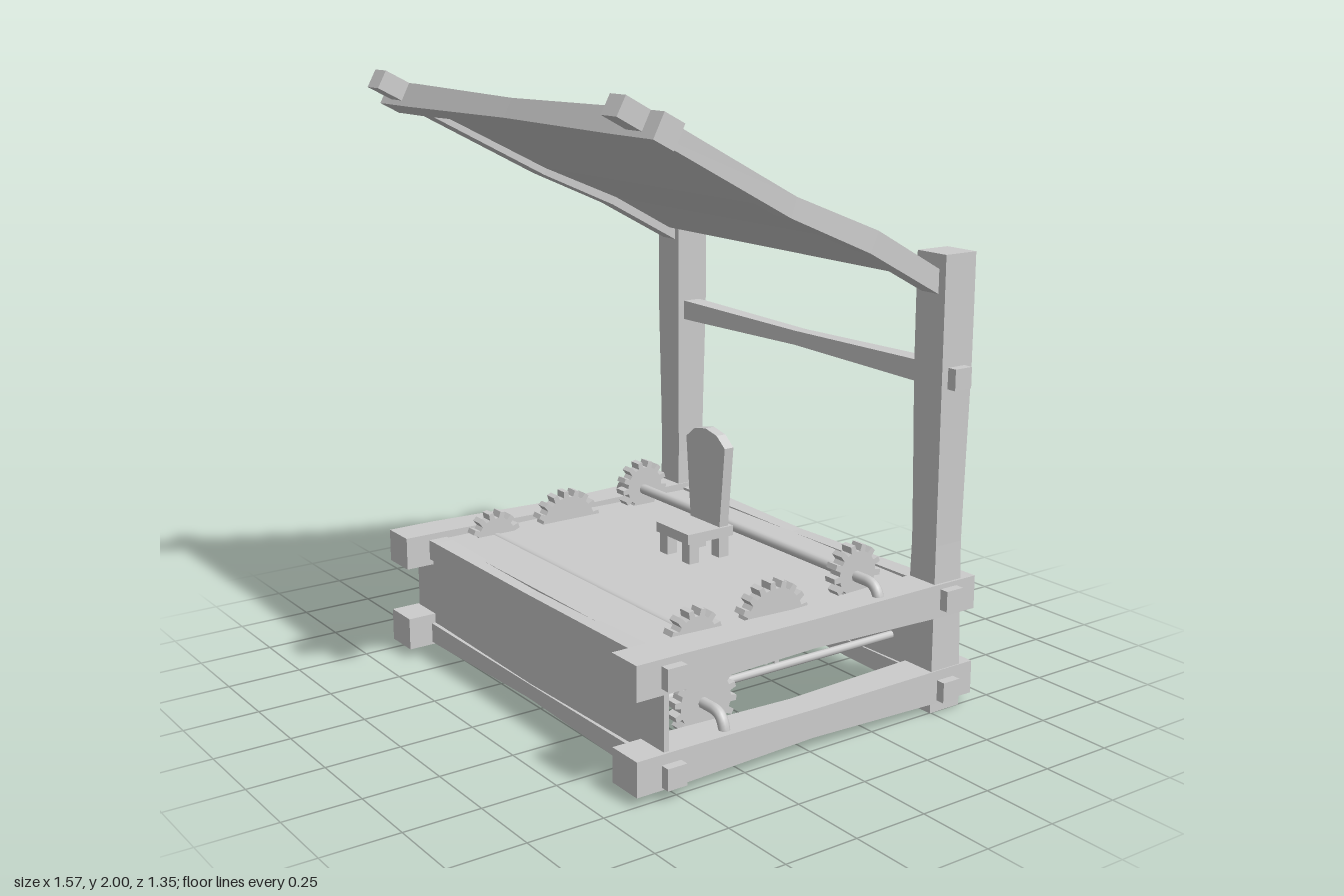
import * as THREE from 'three';

const grey = new THREE.MeshStandardMaterial({ color: 0xcccccc, flatShading: true, side: THREE.DoubleSide });
const smooth = new THREE.MeshStandardMaterial({ color: 0xcccccc });

function add(parent, name, geometry, x = 0, y = 0, z = 0, material = grey) {
  const mesh = new THREE.Mesh(geometry, material);
  mesh.name = name;
  mesh.position.set(x, y, z);
  parent.add(mesh);
  return mesh;
}

// Hand-hewn timber along one axis, slimmer around the waist
function timber(size, axis, waist = 0.84, waistAt = 0) {
  const seg = [1, 1, 1];
  seg[axis] = 8;
  const g = new THREE.BoxGeometry(...size, ...seg);
  const p = g.attributes.position;
  for (let i = 0; i < p.count; i++) {
    const t = p.getComponent(i, axis) / size[axis] * 2 - waistAt;
    const k = THREE.MathUtils.lerp(waist, 1, Math.min(1, Math.abs(t) / 0.75));
    for (let a = 0; a < 3; a++) if (a !== axis) p.setComponent(i, a, p.getComponent(i, a) * k);
  }
  g.computeVertexNormals();
  return g;
}

// Strip following sections of [zTop, yTop, zBottom, yBottom, xShift]
function strip(width, sections) {
  const n = sections.length - 1;
  const g = new THREE.BoxGeometry(width, 1, 1, 1, 1, n);
  const p = g.attributes.position;
  for (let i = 0; i < p.count; i++) {
    const s = sections[Math.round((p.getZ(i) + 0.5) * n)];
    const top = p.getY(i) > 0;
    p.setXYZ(i, p.getX(i) + s[4], top ? s[1] : s[3], top ? s[0] : s[2]);
  }
  g.computeVertexNormals();
  return g;
}

// Toothed wheel with its axis along x
function gear(radius, teeth, width = 0.045) {
  const shape = new THREE.Shape();
  const root = radius - 0.022;
  for (let i = 0; i < teeth; i++) {
    [[0, root], [0.42, root], [0.52, radius], [0.9, radius]].forEach(([f, r], j) => {
      const a = (i + f) / teeth * Math.PI * 2;
      shape[i + j ? 'lineTo' : 'moveTo'](Math.cos(a) * r, Math.sin(a) * r);
    });
  }
  shape.closePath();
  const g = new THREE.ExtrudeGeometry(shape, { depth: width, bevelEnabled: false });
  return g.translate(0, 0, -width / 2).rotateY(Math.PI / 2);
}

// Long rod whose two ends bend down into the side beams
function bentRod(y, foot) {
  const v = (x, h) => new THREE.Vector3(x, h, 0);
  const path = new THREE.CurvePath();
  path.add(new THREE.QuadraticBezierCurve3(v(-0.715, foot), v(-0.715, y), v(-0.66, y)));
  path.add(new THREE.LineCurve3(v(-0.66, y), v(0.66, y)));
  path.add(new THREE.QuadraticBezierCurve3(v(0.66, y), v(0.715, y), v(0.715, foot)));
  return new THREE.TubeGeometry(path, 160, 0.018, 10);
}

function createFrame() {
  const frame = new THREE.Group();
  frame.name = 'frame';
  for (const s of [1, -1]) {
    add(frame, 'backPost', timber([0.125, 1.48, 0.125], 1, 0.86, -0.22), s * 0.69, 0.74, -0.558);
    add(frame, 'lowerSideBeam', timber([0.125, 0.11, 1.31], 2), s * 0.692, 0.085, -0.015);
    add(frame, 'upperSideBeam', timber([0.125, 0.11, 1.31], 2), s * 0.692, 0.375, -0.015);
  }
  for (const [name, y, z] of [['lowerFrontBeam', 0.073, 0.52], ['upperFrontBeam', 0.375, 0.52],
    ['lowerBackBeam', 0.073, -0.555], ['upperBackBeam', 0.38, -0.555], ['backCrossbar', 1.095, -0.555]]) {
    add(frame, name, timber([1.57, 0.068, 0.068], 0, 0.72), 0, y, z);
  }
  add(frame, 'frontPanel', new THREE.BoxGeometry(1.49, 0.32, 0.018), 0, 0.225, 0.531);
  add(frame, 'backPanel', new THREE.BoxGeometry(1.36, 0.32, 0.018), 0, 0.225, -0.54);
  add(frame, 'deck', new THREE.BoxGeometry(1.3, 0.02, 1.04), 0, 0.395, -0.015);
  return frame;
}

function createCanopy() {
  const canopy = new THREE.Group();
  canopy.name = 'canopy';
  for (const s of [1, -1]) {
    add(canopy, 'canopyRail', strip(0.075, [
      [-0.52, 1.42, -0.52, 1.343, 0],
      [-0.25, 1.57, -0.22, 1.505, s * -0.005],
      [0.05, 1.69, 0.07, 1.63, s * -0.02],
      [0.645, 2.0, 0.675, 1.945, 0]]), s * 0.687);
  }
  add(canopy, 'canopyCloth', strip(1.3, [
    [-0.47, 1.42, -0.47, 1.402, 0],
    [-0.24, 1.547, -0.235, 1.53, 0],
    [0.06, 1.67, 0.065, 1.653, 0],
    [0.55, 1.92, 0.555, 1.903, 0]]));
  const bar = add(canopy, 'canopyFrontBar', timber([1.57, 0.08, 0.075], 0, 0.8), 0, 1.905, 0.55);
  bar.rotation.x = -0.48;
  return canopy;
}

function createMechanism() {
  const mechanism = new THREE.Group();
  mechanism.name = 'mechanism';
  add(mechanism, 'upperBentRod', bentRod(0.462, 0.4), 0, 0, -0.295, smooth);
  add(mechanism, 'lowerBentRod', bentRod(0.185, 0.11), 0, 0, 0.3, smooth);
  const axle = new THREE.CylinderGeometry(0.018, 0.018, 1.32, 10).rotateZ(Math.PI / 2);
  for (const [y, z] of [[0.392, 0.325], [0.385, 0.03]]) add(mechanism, 'deckAxle', axle, 0, y, z, smooth);

  const rod = new THREE.CylinderGeometry(0.013, 0.013, 1.04, 10).rotateX(Math.PI / 2);
  for (const s of [1, -1]) {
    for (const [r, teeth, y, z] of [[0.095, 13, 0.47, -0.3], [0.132, 18, 0.378, 0.03],
      [0.095, 13, 0.39, 0.325], [0.115, 16, 0.185, 0.29]]) {
      add(mechanism, 'gear', gear(r, teeth), s * 0.587, y, z);
    }
    for (const y of [0.197, 0.237, 0.273]) add(mechanism, 'sideRod', rod, s * 0.54, y, 0.005, smooth);
  }
  return mechanism;
}

function createChair() {
  const chair = new THREE.Group();
  chair.name = 'chair';
  add(chair, 'seat', new THREE.BoxGeometry(0.18, 0.034, 0.185), 0, 0.493, -0.113);
  for (const x of [-0.063, 0.063]) {
    for (const z of [-0.05, -0.172]) add(chair, 'chairLeg', new THREE.BoxGeometry(0.042, 0.085, 0.04), x, 0.44, z);
  }
  const outline = [[-0.08, 0.5], [0.08, 0.5], [0.107, 0.785], [0.062, 0.82], [0, 0.833], [-0.062, 0.82], [-0.107, 0.785]];
  const shape = new THREE.Shape(outline.map(([x, y]) => new THREE.Vector2(x, y)));
  add(chair, 'chairBack', new THREE.ExtrudeGeometry(shape, { depth: 0.036, bevelEnabled: false }), 0, 0, -0.191);
  return chair;
}

export function createModel() {
  const model = new THREE.Group();
  model.name = 'gearedPlatform';
  model.add(createFrame(), createCanopy(), createMechanism(), createChair());
  return model;
}
